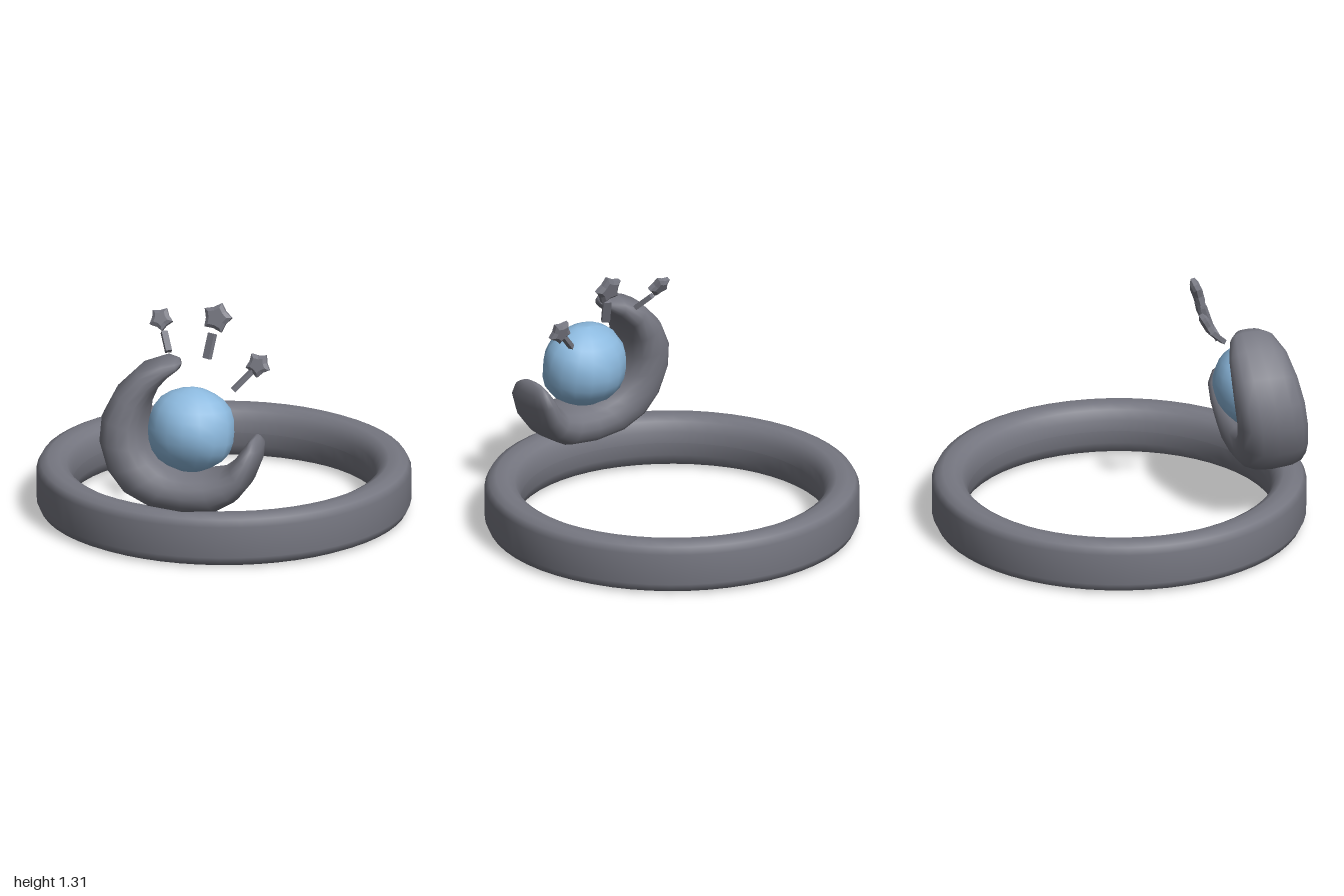
import * as THREE from 'three';

export function createModel() {
  const model = new THREE.Group();
  const metal = new THREE.MeshStandardMaterial({ color: 0x767781 });
  metal.name = 'grey metal';
  const blue = new THREE.MeshStandardMaterial({ color: 0x8cb9de });
  blue.name = 'blue gem';

  const add = (name, geometry, material) => {
    const mesh = new THREE.Mesh(geometry, material);
    mesh.name = name;
    model.add(mesh);
    return mesh;
  };

  // Ring band: rounded section turned about y
  const profile = [
    [0.81, 0.15], [0.812, 0.08], [0.84, 0.02], [0.88, 0.002], [0.94, 0], [0.98, 0.018], [1, 0.06],
    [1, 0.23], [0.98, 0.267], [0.94, 0.285], [0.88, 0.283], [0.84, 0.262], [0.812, 0.21], [0.81, 0.15],
  ].map(([r, y]) => new THREE.Vector2(r, y));
  add('ringBand', new THREE.LatheGeometry(profile, 56), metal);

  // Crescent: rows of outer x, y, inner x, y and half depth, from horn to horn
  const rows = [
    [-0.06, 1.04, -0.06, 1.04, 0], [-0.085, 1.063, -0.07, 1.01, 0.07],
    [-0.15, 1.073, -0.125, 0.965, 0.12], [-0.28, 1.02, -0.19, 0.89, 0.16],
    [-0.4, 0.9, -0.225, 0.8, 0.18], [-0.47, 0.76, -0.235, 0.7, 0.19],
    [-0.48, 0.62, -0.215, 0.6, 0.19], [-0.43, 0.46, -0.16, 0.54, 0.19],
    [-0.34, 0.35, -0.1, 0.5, 0.19], [-0.2, 0.28, -0.04, 0.48, 0.185],
    [0, 0.26, 0.02, 0.475, 0.185], [0.18, 0.28, 0.1, 0.48, 0.185],
    [0.28, 0.34, 0.19, 0.495, 0.18], [0.35, 0.43, 0.25, 0.54, 0.18],
    [0.395, 0.55, 0.29, 0.6, 0.17], [0.4, 0.62, 0.33, 0.655, 0.13],
    [0.38, 0.66, 0.345, 0.675, 0.08], [0.36, 0.675, 0.36, 0.675, 0],
  ];
  const sides = 16;
  const positions = [];
  const indices = [];
  const soften = (v) => Math.sign(v) * Math.abs(v) ** 0.8;
  rows.forEach(([ox, oy, ix, iy, depth], i) => {
    const cx = (ox + ix) / 2, cy = (oy + iy) / 2;
    const zMid = 0.79 - (cy - 0.35) * 0.14; // leans back towards the top
    for (let j = 0; j < sides; j++) {
      const a = (j / sides) * Math.PI * 2;
      const u = soften(Math.cos(a)), w = soften(Math.sin(a));
      positions.push(cx + (u * (ox - ix)) / 2, cy + (u * (oy - iy)) / 2, zMid + w * depth);
      if (i === rows.length - 1) continue;
      const p = i * sides + j, q = i * sides + ((j + 1) % sides);
      indices.push(p, p + sides, q, q, p + sides, q + sides);
    }
  });
  const crescent = new THREE.BufferGeometry();
  crescent.setAttribute('position', new THREE.Float32BufferAttribute(positions, 3));
  crescent.setIndex(indices);
  crescent.computeVertexNormals();
  add('crescent', crescent, metal);

  // Gem: slightly uneven ball
  const ball = new THREE.SphereGeometry(1, 16, 12);
  const v = new THREE.Vector3();
  for (let i = 0; i < ball.attributes.position.count; i++) {
    v.fromBufferAttribute(ball.attributes.position, i);
    v.multiplyScalar(1 + 0.025 * Math.sin(4 * v.x + 1) * Math.cos(5 * v.y) + 0.015 * Math.sin(6 * v.z));
    ball.attributes.position.setXYZ(i, v.x, v.y, v.z);
  }
  ball.scale(0.24, 0.228, 0.21);
  ball.rotateX(-0.15);
  ball.computeVertexNormals();
  add('gem', ball, blue).position.set(0.012, 0.695, 0.745);

  // Plump five-pointed star with bevelled rims
  const starGeometry = (radius, turn) => {
    const shape = new THREE.Shape();
    for (let i = 0; i < 10; i++) {
      const r = radius * (i % 2 ? 0.68 : 0.95), a = turn + (i * Math.PI) / 5;
      shape[i ? 'lineTo' : 'moveTo'](r * Math.cos(a), r * Math.sin(a));
    }
    shape.closePath();
    const g = new THREE.ExtrudeGeometry(shape, {
      depth: 0.022, bevelEnabled: true, bevelThickness: 0.013,
      bevelSize: 0.018, bevelOffset: -0.016, bevelSegments: 1,
    });
    return g.translate(0, 0, -0.011);
  };

  // Stars, each with a small rod pointing at the gem
  const stars = [
    { at: [-0.24, 1.185, 0.42], r: 0.066, turn: 1.15, lean: -0.5, from: [-0.215, 1.125, 0.45], to: [-0.17, 1.045, 0.53], w: 0.034 },
    { at: [0.078, 1.232, 0.455], r: 0.084, turn: 1.3, lean: -0.25, from: [0.06, 1.15, 0.485], to: [0.04, 1.02, 0.525], w: 0.044 },
    { at: [0.328, 1.018, 0.55], r: 0.07, turn: 0.9, lean: -0.25, from: [0.3, 0.985, 0.56], to: [0.205, 0.885, 0.61], w: 0.026 },
  ];
  stars.forEach((s, i) => {
    const star = add(`star${i + 1}`, starGeometry(s.r, s.turn), metal);
    star.position.set(...s.at);
    star.rotation.x = s.lean;

    const a = new THREE.Vector3(...s.from), b = new THREE.Vector3(...s.to);
    const rod = add(`starRod${i + 1}`, new THREE.BoxGeometry(s.w, 0.026, a.distanceTo(b)), metal);
    rod.position.copy(a).add(b).multiplyScalar(0.5);
    rod.lookAt(b);
  });

  return model;
}
